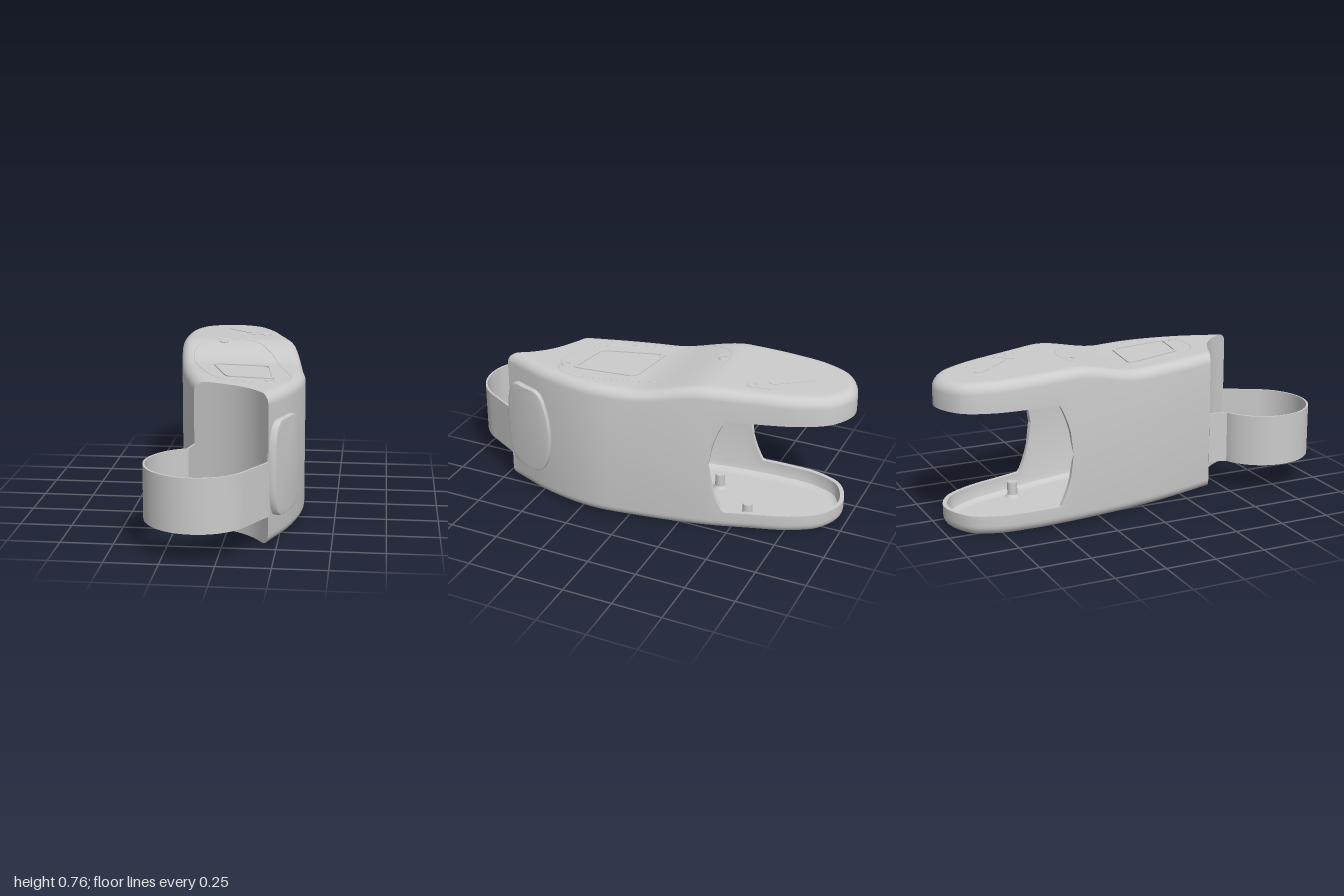
import * as THREE from 'three';
import { toCreasedNormals } from 'three/addons/utils/BufferGeometryUtils.js';

const N = 120, M = 16, T = 0.022, R = 0.05;
const grey = new THREE.MeshStandardMaterial({ color: 0xcccccc, side: THREE.DoubleSide });
const clamp = THREE.MathUtils.clamp;
const v2 = (p) => new THREE.Vector2(p[0], p[1]);
const spline = (pts, closed = false) => new THREE.CatmullRomCurve3(
  pts.map(([x, z]) => new THREE.Vector3(x, 0, z)), closed, 'centripetal');

// Plan outline: left front corner, round the back tip, to the right front corner
const side = spline([
  [-.165, .42], [-.215, .25], [-.265, .05], [-.305, -.18], [-.33, -.4], [-.34, -.6], [-.325, -.8], [-.26, -.935],
  [-.1, -1],
  [.04, -.94], [.13, -.8], [.2, -.58], [.265, -.35], [.32, -.05], [.345, .2], [.305, .45], [.21, .71]]);
// Concave front wall
const front = spline([[-.165, .42], [-.05, .465], [.06, .525], [.14, .6], [.21, .71]]);

// Height of the top surface along z
function topY(z) {
  if (z > 0) return 0.7 + 0.014 * z;
  if (z < -0.38) return 0.76 - 0.03 * (-z - 0.38) / 0.62;
  return 0.7 + 0.06 * THREE.MathUtils.smoothstep(-z, 0, 0.38);
}
// Half height of the rear grip opening
const gap = (z) => 0.25 * Math.sqrt(clamp((-0.4 - z) / 0.07, 0, 1));

// Plan grid of the body, inset by d; the front wall moves back by wall
function planGrid(d, wall, yAt, taper) {
  const row = [];
  for (let m = 0; m <= M; m++) {
    const a = d * 2.8, b = 1 - d * 2.4;
    const p = front.getPoint(a + (b - a) * m / M);
    p.z -= wall;
    row.push(p);
  }
  const inset = (t) => {
    const p = side.getPoint(t), g = side.getTangent(t);
    return p.add(new THREE.Vector3(-g.z, 0, g.x).multiplyScalar(d));
  };
  const fixL = row[0].clone().sub(inset(0)), fixR = row[M].clone().sub(inset(1));
  const grid = [];
  for (let i = 0; i <= N; i++) {
    const f = i / N, w = Math.max(0, (f - 0.75) / 0.25), w2 = w * w;
    const l = inset(0.5 - f / 2).addScaledVector(fixL, w2);
    const r = inset(0.5 + f / 2).addScaledVector(fixR, w2);
    grid.push(row.map((q, m) => {
      const bulge = q.clone().sub(row[0].clone().lerp(row[M], m / M));
      const p = l.clone().lerp(r, m / M).addScaledVector(bulge, w2);
      if (taper) p.z += 0.03 * clamp((-p.z - 0.47) / 0.53, 0, 1);
      p.y = yAt(p.z);
      return p;
    }));
  }
  return grid;
}

// Closed shell from levels [inset, wall offset, height rule], capped at both ends
function shell(name, levels, flip, taper) {
  const pos = [];
  const tri = (a, b, c) => (flip ? [a, c, b] : [a, b, c]).forEach((p) => pos.push(p.x, p.y, p.z));
  const grids = levels.map(([d, wall, y]) => planGrid(d, wall, y, taper));
  const cap = (g, up) => {
    for (let i = 0; i < N; i++) for (let m = 0; m < M; m++) {
      const a = g[i][m], b = g[i + 1][m], c = g[i + 1][m + 1], e = g[i][m + 1];
      if (up) { tri(a, b, c); if (i) tri(a, c, e); }
      else { tri(a, c, b); if (i) tri(a, e, c); }
    }
  };
  const loop = (g) => [
    ...g.map((r) => r[0]).reverse(), ...g.slice(1).map((r) => r[M]), ...g[N].slice(1, M).reverse()];
  cap(grids[0], false);
  cap(grids[grids.length - 1], true);
  const loops = grids.map(loop);
  for (let j = 0; j + 1 < loops.length; j++) {
    const lo = loops[j], hi = loops[j + 1], n = lo.length;
    for (let k = 0; k < n; k++) {
      const q = (k + 1) % n;
      tri(lo[k], hi[k], lo[q]);
      tri(lo[q], hi[k], hi[q]);
    }
  }
  const geo = new THREE.BufferGeometry();
  geo.setAttribute('position', new THREE.Float32BufferAttribute(pos, 3));
  return mesh(name, toCreasedNormals(geo, 0.6));
}

function mesh(name, geo) {
  const m = new THREE.Mesh(geo, grey);
  m.name = name;
  return m;
}

// Rounded edge, wall, rim and inner lining; base(z, h) gives the height h away from the outer skin
function levelsFor(base, rim) {
  const out = [];
  for (let s = 0; s <= 6; s++) {
    const a = s / 6 * Math.PI / 2, h = R * (1 - Math.cos(a));
    out.push([R * (1 - Math.sin(a)), 0, (z) => base(z, h)]);
  }
  out.push([0, 0, rim], [T, T, rim]);
  out.push([T, T, (z) => base(z, 0.06)], [0.03, T, (z) => base(z, 0.035)], [0.05, T, (z) => base(z, T)]);
  return out;
}

// Thin plan shape laid on the top surface
function drape(name, shape, thick) {
  const geo = new THREE.ExtrudeGeometry(shape, { depth: thick + 0.004, bevelEnabled: false, curveSegments: 6 });
  geo.rotateX(Math.PI / 2);
  const p = geo.attributes.position;
  for (let i = 0; i < p.count; i++) p.setY(i, p.getY(i) + topY(p.getZ(i)) + thick);
  geo.computeVertexNormals();
  return mesh(name, geo);
}

// Polygon with rounded corners, scaled about its middle
function roundedPoly(pts, k, Cls = THREE.Shape) {
  const c = pts.reduce((s, p) => s.add(v2(p)), new THREE.Vector2()).divideScalar(pts.length);
  const q = pts.map((p) => v2(p).sub(c).multiplyScalar(k).add(c));
  const s = new Cls();
  q.forEach((p, i) => {
    const a = p.clone().lerp(q[(i + q.length - 1) % q.length], 0.12);
    const b = p.clone().lerp(q[(i + 1) % q.length], 0.12);
    if (i) s.lineTo(a.x, a.y); else s.moveTo(a.x, a.y);
    s.quadraticCurveTo(p.x, p.y, b.x, b.y);
  });
  s.closePath();
  return s;
}

export function createModel() {
  const g = new THREE.Group();
  g.name = 'handheldHousing';

  // Lower and upper halves of the hollow body
  g.add(shell('lowerShell', levelsFor((z, h) => h, (z) => 0.35 - gap(z)), false, true));
  g.add(shell('upperShell', levelsFor((z, h) => topY(z) - h, (z) => 0.35 + gap(z)), true, false));

  // Window frame
  const win = [[-.13, -.015], [.165, .025], [.21, .35], [-.025, .31]];
  const frame = roundedPoly(win, 1);
  frame.holes.push(roundedPoly(win, 0.9, THREE.Path));
  g.add(drape('windowFrame', frame, 0.005));

  // Fine bead around the control panel
  const bead = spline([[-.24, -.2], [-.18, -.33], [.03, -.34], [.14, -.2], [.23, .08], [.28, .32], [.23, .41],
    [.03, .41], [-.07, .32], [-.18, .08]], true).getSpacedPoints(80).slice(0, 80);
  bead.forEach((p) => { p.y = topY(p.z) - 0.001; });
  g.add(mesh('panelBead', new THREE.TubeGeometry(new THREE.CatmullRomCurve3(bead, true), 160, 0.003, 6, true)));

  // Arrow mark: slot and head
  const slot = new THREE.Shape();
  const ang = Math.atan2(.15, .13), r = 0.025;
  slot.absarc(.02, -.63, r, ang - Math.PI / 2, ang + Math.PI / 2);
  slot.absarc(-.1, -.775, r, ang + Math.PI / 2, ang + Math.PI * 1.5);
  g.add(drape('arrowSlot', slot, 0.002));
  g.add(drape('arrowHead', new THREE.Shape([[.1, -.64], [.125, -.525], [.01, -.56], [.055, -.6]].map(v2)), 0.002));

  // Screw rims with the posts beneath them
  for (const [x, z] of [[-.105, -.32], [.19, .39], [.1, -.55]]) {
    const rim = mesh('screwRim', new THREE.TorusGeometry(0.02, 0.005, 8, 24).rotateX(Math.PI / 2));
    rim.position.set(x, topY(z), z);
    const floorPost = mesh('floorPost', new THREE.CylinderGeometry(0.025, 0.025, 0.08, 20));
    floorPost.position.set(x, 0.06, z);
    const foot = mesh('postFoot', new THREE.CylinderGeometry(0.026, 0.038, 0.015, 20));
    foot.position.set(x, 0.028, z);
    const topPost = mesh('topPost', new THREE.CylinderGeometry(0.025, 0.025, 0.1, 20));
    topPost.position.set(x, topY(z) - 0.065, z);
    g.add(rim, floorPost, foot, topPost);
  }

  // Side pad, leaning along the right front flank
  const padShape = new THREE.Shape(spline([[.445, .5], [.49, .575], [.57, .582], [.655, .575], [.69, .52], [.706, .36],
    [.69, .2], [.655, .137], [.57, .13], [.49, .14], [.445, .2], [.42, .35]], true)
    .getSpacedPoints(60).slice(0, 60).map((p) => new THREE.Vector2(-p.x, p.z)));
  const pad = new THREE.ExtrudeGeometry(padShape,
    { depth: 0.03, bevelThickness: 0.005, bevelSize: 0.005, bevelOffset: -0.005, bevelSegments: 2 });
  pad.rotateY(Math.PI / 2);
  const pp = pad.attributes.position;
  for (let i = 0; i < pp.count; i++) {
    const f = (pp.getZ(i) - 0.42) / 0.29;
    pp.setX(i, pp.getX(i) + 0.305 - 0.085 * f - 0.015 * f * f);
  }
  g.add(mesh('sidePad', toCreasedNormals(pad, 0.6)));

  // Strap loop between the two front corners
  const path = [[-.163, .42], [-.185, .51]];
  const a0 = Math.atan2(.51 - .745, -.185 + .1), a1 = -Math.PI * 2 + 0.52;
  for (let i = 1; i <= 48; i++) {
    const a = a0 + (a1 - a0) * i / 48;
    path.push([-.1 + .25 * Math.cos(a), .745 + .25 * Math.sin(a)]);
  }
  path.push([.212, .7]);
  const offset = (s) => path.map((p, i) => {
    const t = v2(path[Math.min(i + 1, path.length - 1)]).sub(v2(path[Math.max(i - 1, 0)])).normalize();
    return new THREE.Vector2(p[0] - t.y * s, p[1] + t.x * s);
  });
  const strap = new THREE.ExtrudeGeometry(new THREE.Shape([...offset(0.005), ...offset(-0.005).reverse()]),
    { depth: 0.257, bevelEnabled: false });
  strap.rotateX(Math.PI / 2).translate(0, 0.4, 0);
  g.add(mesh('strapLoop', toCreasedNormals(strap, 0.5)));
  return g;
}
